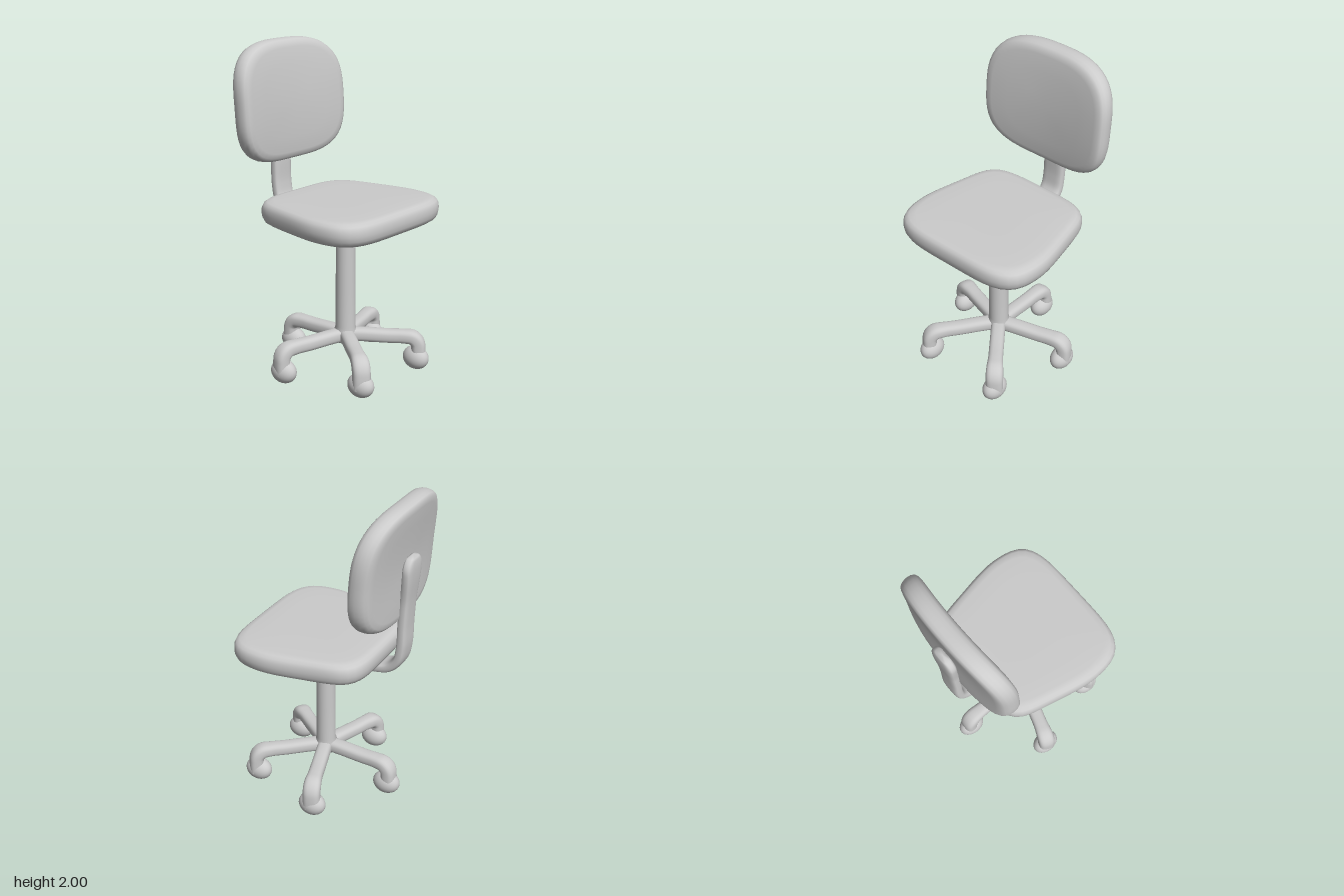
import * as THREE from 'three';
import { mergeVertices } from 'three/addons/utils/BufferGeometryUtils.js';
import { ParametricGeometry } from 'three/addons/geometries/ParametricGeometry.js';

const CENTRE_Z = 0.07; // column and base axis

// Weld seams and rebuild smooth normals
function smooth(geometry) {
  geometry.deleteAttribute('uv');
  geometry.deleteAttribute('normal');
  const welded = mergeVertices(geometry, 1e-5);
  welded.computeVertexNormals();
  return welded;
}

// Padded slab: a lathed edge profile squared off to a superellipse, then
// placed by a rule taking (u, v, h), each in -1..1
function cushion(exponent, place) {
  const profile = [[0, -1], [0.3, -1], [0.6, -1], [0.84, -0.98], [0.92, -0.9], [0.965, -0.72],
    [0.99, -0.4], [1, 0], [0.995, 0.4], [0.975, 0.7], [0.935, 0.88], [0.86, 0.97], [0.6, 1], [0.3, 1], [0, 1]];
  const geometry = new THREE.LatheGeometry(profile.map(([r, h]) => new THREE.Vector2(r, h)), 72);
  const pos = geometry.attributes.position;
  for (let i = 0; i < pos.count; i++) {
    const x = pos.getX(i), z = pos.getZ(i), r = Math.hypot(x, z);
    let k = 1;
    if (r > 1e-6) {
      const n = exponent(z);
      k = (Math.abs(x / r) ** n + Math.abs(z / r) ** n) ** (-1 / n);
    }
    pos.setXYZ(i, ...place(x * k, z * k, pos.getY(i)));
  }
  return smooth(geometry);
}

// Rounded bar swept along a path of [z, y] points; size(t) gives half width and half thickness
function sweptBar(points, size, squareness, steps) {
  const curve = new THREE.CatmullRomCurve3(points.map(([z, y]) => new THREE.Vector3(0, y, z)), false, 'centripetal');
  const power = (a) => Math.sign(a) * Math.abs(a) ** squareness;
  return smooth(new ParametricGeometry((u, t, target) => {
    const p = curve.getPointAt(t), d = curve.getTangentAt(t);
    const [w, h] = size(t), a = (u % 1) * Math.PI * 2;
    const s = h * power(Math.sin(a));
    target.set(w * power(Math.cos(a)), p.y + d.z * s, p.z - d.y * s);
  }, 24, steps));
}

// Rounds a bar off over the given fraction at each end
function endRound(t, start, end) {
  const e = Math.max(0, 1 - t / start, 1 - (1 - t) / end);
  return Math.sqrt(Math.max(0, 1 - e * e));
}

function lathe(points, segments = 28) {
  return smooth(new THREE.LatheGeometry(points.map(([r, y]) => new THREE.Vector2(r, y)), segments));
}

export function createModel() {
  const chair = new THREE.Group();
  chair.name = 'officeChair';
  const material = new THREE.MeshStandardMaterial({ color: 0xcccccc });
  const add = (name, geometry, parent = chair) => {
    const mesh = new THREE.Mesh(geometry, material);
    mesh.name = name;
    parent.add(mesh);
    return mesh;
  };

  // Seat, narrowing towards the back
  add('seat', cushion(() => 4.6, (u, v, h) => {
    const z = 0.085 + 0.427 * v;
    const width = 0.485 - 0.068 * THREE.MathUtils.smoothstep(-z, -0.25, 0.22);
    return [u * width, 1.015 + 0.075 * h, z];
  }));

  // Backrest, hollowed sideways and leaning back at the top
  add('backrest', cushion((v) => (v < 0 ? 3 : 3.4), (u, v, h) => {
    const x = 0.445 * u, y = 1.635 - 0.365 * v;
    const lean = 0.06 * ((y - 1.4) / 0.6) ** 2;
    return [x, y, -0.385 - lean + 0.03 * u * u + 0.068 * h];
  }));

  // Curved bar from under the seat up to the backrest
  const barPath = [[0.1, 0.925], [-0.1, 0.918], [-0.28, 0.925], [-0.38, 0.95], [-0.435, 1.01],
    [-0.455, 1.1], [-0.46, 1.25], [-0.468, 1.4], [-0.482, 1.55], [-0.488, 1.69]];
  add('backrestBar', sweptBar(barPath, (t) => {
    const e = endRound(t, 0.04, 0.075);
    const w = 0.074 + 0.016 * THREE.MathUtils.smoothstep(t, 0.75, 0.93);
    return [w * e, 0.031 * Math.sqrt(e)];
  }, 0.6, 80));

  // Column flaring out under the seat
  add('column', lathe([[0, 0.18], [0.06, 0.18], [0.068, 0.2], [0.068, 0.26], [0.061, 0.28], [0.061, 0.5],
    [0.059, 0.82], [0.064, 0.87], [0.08, 0.905], [0.1, 0.925], [0.11, 0.95], [0, 0.95]])).position.z = CENTRE_Z;

  // Five legs, each bending down into a caster
  const base = new THREE.Group();
  base.name = 'base';
  base.position.z = CENTRE_Z;
  chair.add(base);
  const legPath = [[0, 0.225], [0.12, 0.222], [0.26, 0.215], [0.36, 0.213], [0.415, 0.205],
    [0.443, 0.175], [0.45, 0.13], [0.45, 0.06]];
  const legGeometry = sweptBar(legPath, (t) => {
    const neck = THREE.MathUtils.smoothstep(t, 0.55, 0.78);
    return [0.046 + 0.008 * neck, 0.042 + 0.003 * neck];
  }, 0.75, 48);
  const wheelGeometry = smooth(new THREE.SphereGeometry(1, 28, 20));
  wheelGeometry.scale(0.064, 0.073, 0.088);
  wheelGeometry.computeVertexNormals();
  for (const degrees of [38, 108, 180, -108, -38]) {
    const angle = THREE.MathUtils.degToRad(degrees);
    add('leg', legGeometry, base).rotation.y = angle;
    add('caster', wheelGeometry, base).position.set(0.435 * Math.sin(angle), 0.074, 0.435 * Math.cos(angle));
  }

  return chair;
}
